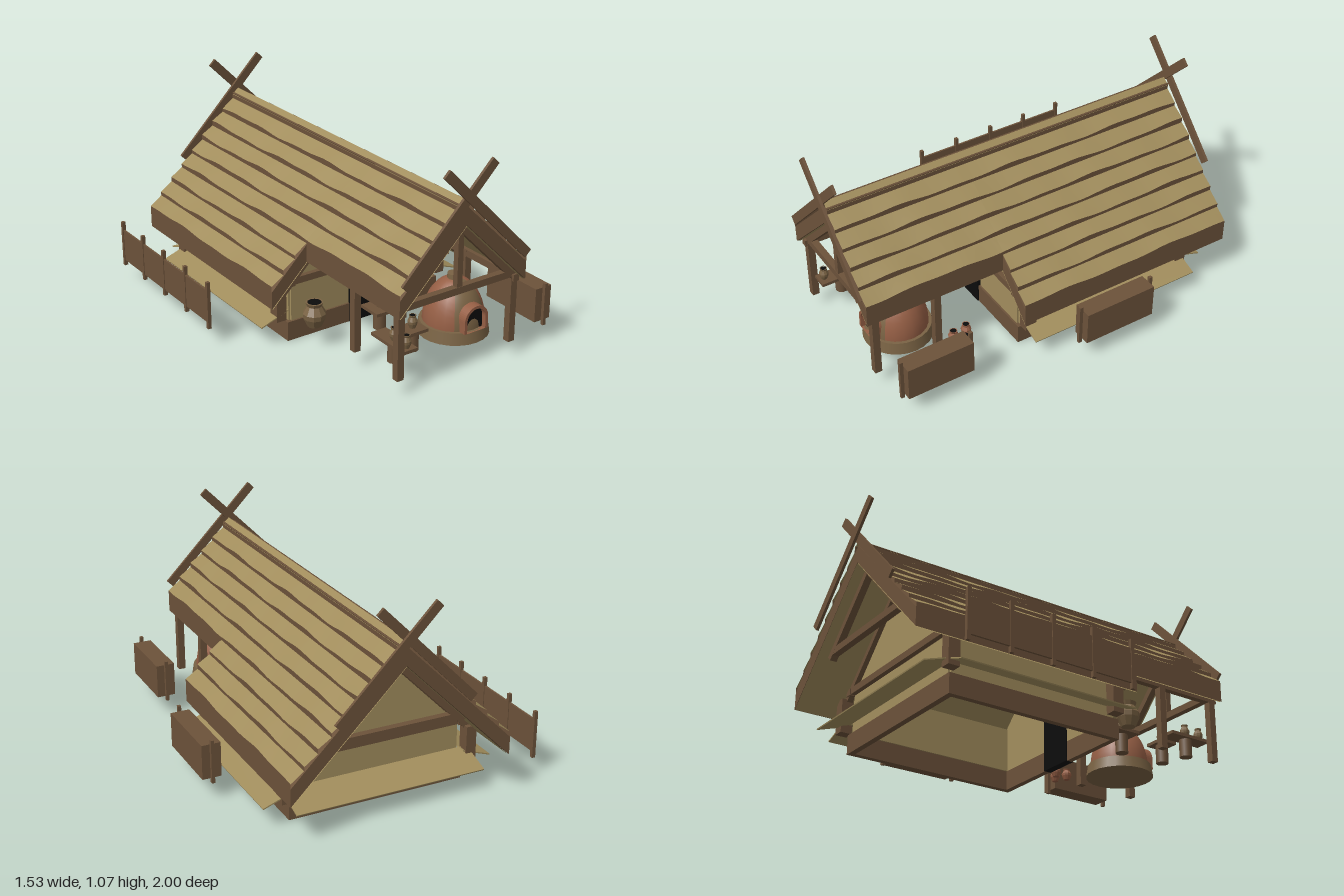
import * as THREE from 'three';

const mat = (name, color, side = THREE.FrontSide) => {
  const m = new THREE.MeshStandardMaterial({ color, side });
  m.name = name;
  return m;
};

export function createModel() {
  const straw = mat('straw', 0xa18d5c, THREE.DoubleSide);
  const wood = mat('wood', 0x6c523a, THREE.DoubleSide);
  const plaster = mat('plaster', 0xa38e5e);
  const clay = mat('terracotta', 0x965f45);
  const daub = mat('daub', 0x7a6344);
  const black = mat('black', 0x0c0c0c);

  const model = new THREE.Group();
  model.name = 'thatchedHouse';
  const group = (name, x = 0, y = 0, z = 0, parent = model) => {
    const g = new THREE.Group();
    g.name = name;
    g.position.set(x, y, z);
    parent.add(g);
    return g;
  };
  const add = (parent, name, geo, m, x = 0, y = 0, z = 0) => {
    const mesh = new THREE.Mesh(geo, m);
    mesh.name = name;
    mesh.position.set(x, y, z);
    parent.add(mesh);
    return mesh;
  };
  // box given by its extents
  const box = (p, name, m, x0, x1, y0, y1, z0, z1) =>
    add(p, name, new THREE.BoxGeometry(x1 - x0, y1 - y0, z1 - z0), m, (x0 + x1) / 2, (y0 + y1) / 2, (z0 + z1) / 2);
  // beam between two points of an xy plane
  const beam = (p, name, ax, ay, bx, by, width, z, depth, m = wood) => {
    const b = add(p, name, new THREE.BoxGeometry(Math.hypot(bx - ax, by - ay), width, depth), m, (ax + bx) / 2, (ay + by) / 2, z);
    b.rotation.z = Math.atan2(by - ay, bx - ax);
    return b;
  };
  const extrude = (pts, z0, z1) => {
    const s = new THREE.Shape(pts.map(([x, y]) => new THREE.Vector2(x, y)));
    return new THREE.ExtrudeGeometry(s, { depth: z1 - z0, bevelEnabled: false }).translate(0, 0, z0);
  };
  // strip along z between two edges, each x fixed and y a function of z
  const ribbon = (xa, ya, xb, yb, z0, z1, n = 24) => {
    const pos = [], idx = [];
    for (let i = 0; i <= n; i++) {
      const z = z0 + (z1 - z0) * i / n;
      pos.push(xa, ya(z), z, xb, yb(z), z);
      const a = i * 2;
      if (i < n) xb > 0 ? idx.push(a, a + 2, a + 1, a + 1, a + 2, a + 3) : idx.push(a, a + 1, a + 2, a + 1, a + 3, a + 2);
    }
    const g = new THREE.BufferGeometry();
    g.setAttribute('position', new THREE.Float32BufferAttribute(pos, 3));
    g.setIndex(idx);
    g.computeVertexNormals();
    return g;
  };

  const house = group('house', 0.027);

  // ---- thatched roof: a thick slab with stepped, wavy courses
  const P = 0.066, d0 = 0.035, RIDGE = 0.89, THICK = 0.12;
  const edgeX = k => d0 + P * k, edgeY = k => 0.86 - P * k;
  const roof = group('thatchRoof', 0, 0, 0, house);
  for (const s of [1, -1]) {
    for (const [z0, z1, last] of [[-0.97, 0.24, 8], [0.24, 0.97, 5]]) {
      const ex = edgeX(last), ey = edgeY(last);
      add(roof, 'thatchSlab', extrude([[0, RIDGE - 0.03], [s * ex, ey - 0.03], [s * ex, ey - THICK], [0, RIDGE - THICK]], z0, z1), wood);
      add(roof, 'thatchUnderside', ribbon(s * 0.001, () => RIDGE - THICK - 0.004, s * (ex - 0.005), () => ey - THICK - 0.001, z0, z1, 1), straw);
      for (let k = 0; k <= last; k++) {
        const wave = z => k ? 0.005 * Math.sin(z * 9 + k * 1.7) + 0.003 * Math.sin(z * 21 + k) : 0;
        const lip = z => edgeY(k) + wave(z);
        const top = k ? edgeY(k - 1) - 0.022 : RIDGE;
        const xa = k ? edgeX(k - 1) : 0;
        add(roof, 'strawCourse', ribbon(s * xa, () => top, s * edgeX(k), lip, z0, z1), straw);
        const drop = k === last ? THICK : 0.025;
        add(roof, 'courseEdge', ribbon(s * edgeX(k), lip, s * edgeX(k), () => edgeY(k) - drop, z0, z1), wood);
      }
    }
    // ridge poles
    add(roof, 'ridgePole', new THREE.CylinderGeometry(0.006, 0.006, 1.94, 6).rotateX(Math.PI / 2), wood, s * 0.03, 0.865, 0);
  }
  // crossed barge boards on both gable ends
  for (const e of [1, -1]) for (const s of [1, -1])
    beam(roof, 'bargeBoard', s * -0.143, 1.05, s * 0.347, 0.555, 0.045, e * (s > 0 ? 0.992 : 0.977), 0.014);

  // ---- plinth, walls and gables
  const body = group('walls', 0, 0, 0, house);
  for (const s of [1, -1]) {
    box(body, 'sidePlinth', wood, s * 0.442 - 0.015, s * 0.442 + 0.015, 0, 0.1, -0.73, 0.21);
    box(body, 'sideWall', plaster, s * 0.43 - 0.01, s * 0.43 + 0.01, 0.1, 0.33, -0.71, 0.19);
    box(body, 'wallPlate', wood, s * 0.44 - 0.017, s * 0.44 + 0.017, 0.295, 0.33, -0.75, 0.23);
    box(body, 'frontPlinth', wood, Math.min(s * 0.09, s * 0.427), Math.max(s * 0.09, s * 0.427), 0, 0.1, 0.18, 0.21);
    for (const z of [0.17, -0.74])
      box(body, 'cornerPost', wood, s * 0.484 - 0.027, s * 0.484 + 0.027, 0.11, 0.285, z - 0.03, z + 0.03);
    const apron = add(body, 'sideApron', new THREE.BoxGeometry(0.16, 0.006, 0.96), straw, s * 0.523, 0.133, -0.28);
    apron.rotation.z = -s * 0.34;
  }
  box(body, 'backPlinth', wood, -0.427, 0.427, 0, 0.1, -0.73, -0.7);
  const backApron = add(body, 'backApron', new THREE.BoxGeometry(0.98, 0.006, 0.17), straw, 0, 0.133, -0.8);
  backApron.rotation.x = -0.32;
  const gable = [[-0.43, 0.1], [0.43, 0.1], [0.43, 0.33], [0, 0.76], [-0.43, 0.33]];
  for (const [z, e] of [[0.19, 1], [-0.71, -1]]) {
    add(body, 'gableWall', extrude(gable, z - 0.01, z + 0.01), plaster);
    box(body, 'gableBeam', wood, -0.45, 0.45, 0.3, 0.335, z + e * 0.02 - 0.015, z + e * 0.02 + 0.015);
    add(body, 'smokeHole', extrude([[-0.08, 0.68], [0.08, 0.68], [0, 0.76]], z - 0.014, z + 0.014), black);
    for (const s of [1, -1]) beam(body, 'gableRafter', 0, 0.755, s * 0.5, 0.255, 0.035, z + e * 0.02, 0.03);
  }
  box(body, 'doorway', black, -0.092, 0.092, 0, 0.28, 0.175, 0.216);

  // ---- open timber frames under both roof ends
  const frame = group('timberFrame', 0, 0, 0, house);
  for (const z of [0.92, -0.9]) {
    box(frame, 'tieBeam', wood, -0.33, 0.33, 0.42, 0.455, z - 0.017, z + 0.017);
    for (const s of [1, -1]) beam(frame, 'rafter', 0, 0.755, s * 0.34, 0.415, 0.045, z, 0.035);
  }
  box(frame, 'kingPost', wood, -0.015, 0.015, 0.45, 0.775, 0.905, 0.935);
  for (const s of [1, -1]) {
    for (const z of [0.92, 0.59])
      box(frame, 'porchPost', wood, s * 0.328 - 0.018, s * 0.328 + 0.018, 0.08, 0.43, z - 0.018, z + 0.018);
    box(frame, 'porchBeam', wood, s * 0.328 - 0.016, s * 0.328 + 0.016, 0.4, 0.435, 0.2, 0.95);
  }

  // ---- domed kiln
  const kiln = group('kiln', 0.185, 0, 0.71);
  add(kiln, 'kilnBase', new THREE.CylinderGeometry(0.165, 0.175, 0.06, 24, 1), daub, 0, 0.13, 0);
  const dome = (a, len, m) => add(kiln, 'kilnDome', new THREE.SphereGeometry(1, 16, 10, a, len, 0, Math.PI / 2).scale(0.15, 0.22, 0.15), m, 0, 0.16, 0);
  dome(Math.PI / 2 - 0.65, 1.3, daub);
  dome(Math.PI / 2 + 0.65, Math.PI * 2 - 1.3, clay);
  add(kiln, 'kilnCollar', new THREE.CylinderGeometry(0.034, 0.036, 0.03, 14), daub, 0, 0.382, 0);
  const arch = (r, hole) => {
    const trace = (path, q) => path.moveTo(-q, 0).lineTo(q, 0).lineTo(q, 0.06).absarc(0, 0.06, q, 0, Math.PI, false).lineTo(-q, 0);
    const s = trace(new THREE.Shape(), r);
    if (hole) s.holes.push(trace(new THREE.Path(), hole));
    return s;
  };
  add(kiln, 'kilnMouthFrame', new THREE.ExtrudeGeometry(arch(0.07, 0.055), { depth: 0.1, bevelEnabled: false }), clay, 0, 0.16, 0.07);
  add(kiln, 'kilnMouth', new THREE.ExtrudeGeometry(arch(0.056), { depth: 0.075, bevelEnabled: false }), black, 0, 0.16, 0.07);

  // ---- pots
  const pot = (name, x, y, z, r, h, m) => {
    const pts = [[0, 0], [0.6, 0], [0.95, 0.35], [1, 0.55], [0.62, 0.85], [0.75, 1], [0.6, 1]].map(([a, b]) => new THREE.Vector2(a * r, b * h));
    const g = new THREE.LatheGeometry(pts, 10).toNonIndexed();
    g.computeVertexNormals();
    const p = group(name, x, y, z);
    add(p, 'potBody', g, m);
    add(p, 'potInside', new THREE.CylinderGeometry(r * 0.62, r * 0.62, 0.004, 10), black, 0, h - 0.003, 0);
  };
  pot('storageJar', -0.355, 0.115, 0.33, 0.058, 0.125, daub);
  for (const [x, z] of [[0.39, 0.45], [0.452, 0.49], [0.398, 0.525]]) pot('smallPot', x, 0.11, z, 0.026, 0.058, clay);

  // ---- work tables with log legs
  for (const [x, z, w, d, y] of [[-0.235, 0.8, 0.085, 0.24, 0.2], [-0.095, 0.5, 0.125, 0.13, 0.205], [-0.1, 0.76, 0.11, 0.1, 0.205]]) {
    const t = group('workTable', x, 0, z);
    box(t, 'tableTop', wood, -w / 2, w / 2, y - 0.008, y + 0.008, -d / 2, d / 2);
    add(t, 'logLeg', new THREE.CylinderGeometry(0.032, 0.032, y - 0.1, 10), wood, 0, (y + 0.1) / 2, 0);
    pot('tablePot', x, y + 0.008, z, 0.024, 0.065, daub);
  }
  pot('tablePot', -0.235, 0.208, 0.89, 0.024, 0.065, daub);

  // ---- stacks between stakes
  for (const [x, z0, z1] of [[0.582, 0.55, 0.9], [0.717, -0.39, 0]]) {
    const g = group('stack', x);
    box(g, 'stackBody', wood, -0.048, 0.048, 0.11, 0.285, z0, z1);
    for (const z of [z0 - 0.01, z1 + 0.01]) box(g, 'stake', wood, -0.008, 0.008, 0.09, 0.31, z - 0.009, z + 0.009);
  }

  // ---- fence
  const fence = group('fence', -0.76);
  box(fence, 'fencePanel', wood, -0.005, 0.005, 0.12, 0.29, -0.85, 0.025);
  for (let i = 0; i < 5; i++) {
    const z = -0.85 + i * 0.219;
    box(fence, 'fencePost', wood, -0.009, 0.009, 0.09, 0.335, z - 0.009, z + 0.009);
  }
  return model;
}
